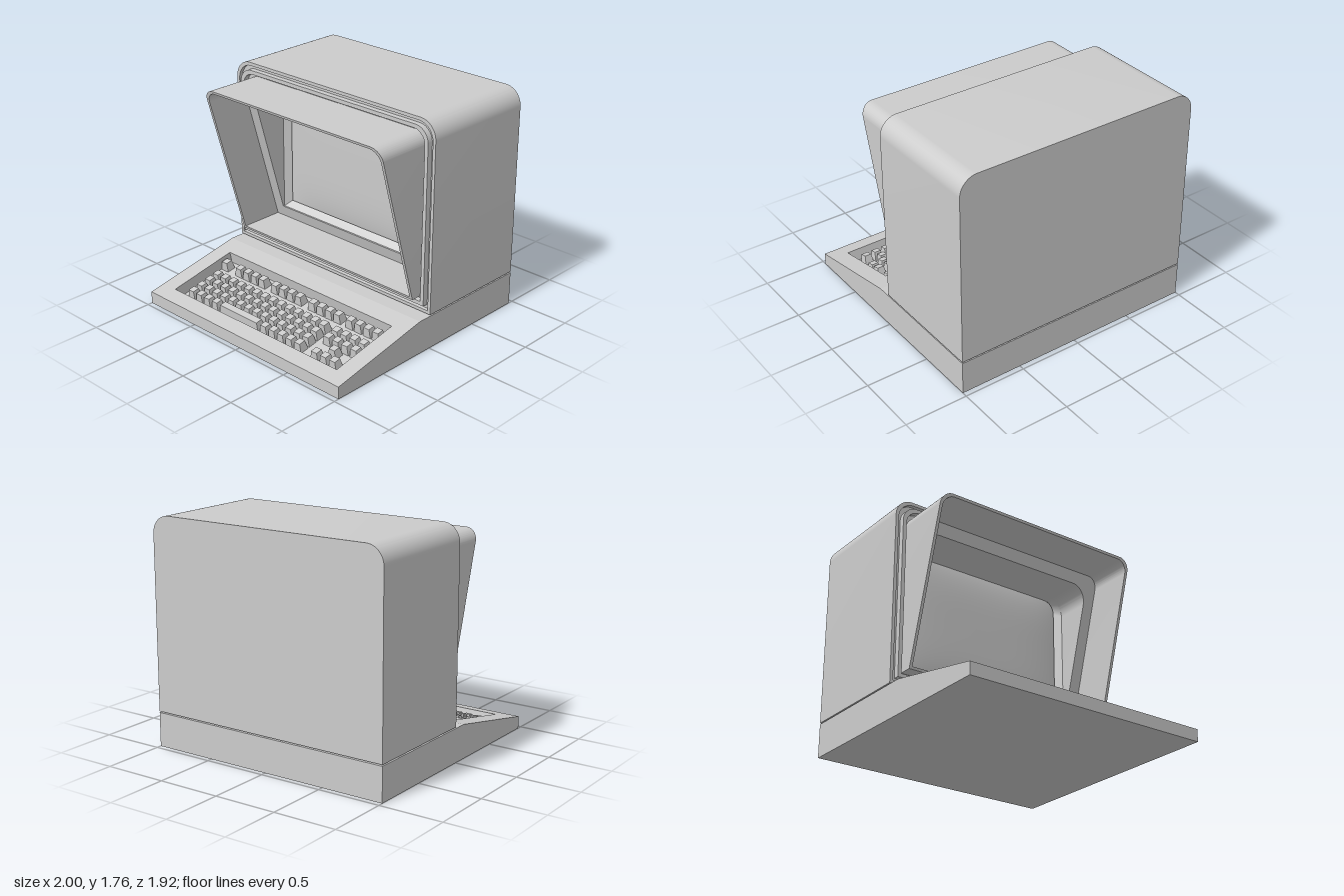
import * as THREE from 'three';
import { toCreasedNormals } from 'three/addons/utils/BufferGeometryUtils.js';

const grey = new THREE.MeshStandardMaterial({ color: 0xcccccc });
const greyDouble = new THREE.MeshStandardMaterial({ color: 0xcccccc, side: THREE.DoubleSide });

function add(parent, name, geometry, material = grey) {
  const mesh = new THREE.Mesh(geometry, material);
  mesh.name = name;
  parent.add(mesh);
  return mesh;
}

// Outline with square bottom corners and rounded top corners
function arch(hw, y0, y1, r) {
  const s = new THREE.Shape();
  s.moveTo(-hw, y0);
  s.lineTo(hw, y0);
  s.lineTo(hw, y1 - r);
  s.absarc(hw - r, y1 - r, r, 0, Math.PI / 2);
  s.lineTo(-hw + r, y1);
  s.absarc(-hw + r, y1 - r, r, Math.PI / 2, Math.PI);
  s.closePath();
  return s;
}

// Case outline moved inwards
const caseOutline = (i) => arch(1 - i, 0.275 + i, 1.765 - i, 0.14 - i * 0.4);

// Extrude an outline between two depths, each of which may depend on height
function slab(outline, hole, back, front) {
  const shape = outline.clone();
  if (hole) shape.holes.push(hole);
  const g = new THREE.ExtrudeGeometry(shape, { depth: 1, bevelEnabled: false, curveSegments: 12 });
  const p = g.attributes.position;
  for (let i = 0; i < p.count; i++) {
    p.setZ(i, p.getZ(i) < 0.5 ? back(p.getY(i)) : front(p.getY(i)));
  }
  return toCreasedNormals(g, 0.5);
}
const at = (z) => () => z;

// Sloped strip joining two outlines with equal point counts
function loft(a, za, b, zb) {
  const pa = a.getPoints(12), pb = b.getPoints(12), pos = [], idx = [];
  pa.forEach((p, i) => {
    pos.push(p.x, p.y, za, pb[i].x, pb[i].y, zb);
    const k = 2 * i, n = 2 * ((i + 1) % pa.length);
    idx.push(k, n, k + 1, n, n + 1, k + 1);
  });
  const g = new THREE.BufferGeometry();
  g.setAttribute('position', new THREE.Float32BufferAttribute(pos, 3));
  g.setIndex(idx);
  return toCreasedNormals(g, 0.5);
}

// Side profile of (z, y) points extruded across x
function acrossX(points, x0, x1) {
  const shape = new THREE.Shape(points.map(([z, y]) => new THREE.Vector2(z, y)));
  const g = new THREE.ExtrudeGeometry(shape, { depth: x1 - x0, bevelEnabled: false });
  return g.rotateY(-Math.PI / 2).translate(x1, 0, 0);
}

// Key with a smaller top
function keyGeometry(w) {
  const g = new THREE.BoxGeometry(w, 0.073, 0.074);
  const p = g.attributes.position;
  for (let i = 0; i < p.count; i++) {
    if (p.getY(i) > 0) {
      p.setX(i, p.getX(i) * (w - 0.02) / w);
      p.setZ(i, p.getZ(i) * 0.74);
    }
  }
  const flat = g.toNonIndexed();
  flat.computeVertexNormals();
  return flat.translate(0, -0.0585, 0);
}

function buildBase(root) {
  const base = new THREE.Group();
  base.name = 'base';
  root.add(base);
  const slope = 0.168 / 0.85, angle = Math.atan(slope), depth = 0.095;
  const surface = (z) => 0.265 - (z - 0.11) * slope;
  const dz = depth * Math.sin(angle), dy = depth * Math.cos(angle);
  const lower = [[-0.96, 0], [0.96, 0], [0.96, 0.097]];
  const upper = [[0.11, 0.265], [-0.96, 0.265]];
  const f = 0.833, b = 0.26, w = 0.862;
  const well = [[f, surface(f)], [f - dz, surface(f) - dy], [b - dz, surface(b) - dy], [b, surface(b)]];
  add(base, 'baseRight', acrossX([...lower, ...upper], -1, -w));
  add(base, 'baseLeft', acrossX([...lower, ...upper], w, 1));
  add(base, 'baseMiddleWithKeyWell', acrossX([...lower, ...well, ...upper], -w, w));

  // Keys laid out on the slope
  const keyboard = new THREE.Group();
  keyboard.name = 'keyboard';
  keyboard.position.set(0, 0.265, 0.11);
  keyboard.rotation.x = angle;
  base.add(keyboard);
  const small = keyGeometry(0.074);
  const key = (x, z, geometry = small, name = 'key') => {
    add(keyboard, name, geometry).position.set(x, 0, (z - 0.104) / Math.cos(angle));
  };
  // Rear row: a single key, then groups of four
  key(-0.82, 0.33);
  for (const start of [-0.66, -0.26, 0.145, 0.53]) {
    for (let i = 0; i < 4; i++) key(start + i * 0.087, 0.33);
  }
  // Main block, with the space bar in the last row
  for (let row = 0; row < 4; row++) {
    for (let i = 0; i < 14; i++) {
      if (row === 3 && i > 3 && i < 9) continue;
      key(-0.765 + i * 0.0892, 0.477 + row * 0.084);
    }
  }
  key(-0.23, 0.729, keyGeometry(0.42), 'spaceBar');
  // Side block and arrow keys
  for (let row = 0; row < 2; row++) {
    for (let i = 0; i < 4; i++) key(0.525 + i * 0.0885, 0.477 + row * 0.084);
  }
  key(0.66, 0.645);
  for (const x of [0.57, 0.66, 0.75]) key(x, 0.735);
}

function buildMonitor(root) {
  const monitor = new THREE.Group();
  monitor.name = 'monitor';
  root.add(monitor);

  // Foot hidden in the narrow gap above the base
  add(monitor, 'foot', new THREE.BoxGeometry(1.94, 0.02, 0.9).translate(0, 0.27, -0.48));

  // Case shell, then nested grooves and a raised ring
  const insets = [0, 0.025, 0.055, 0.085, 0.11];
  const fronts = [0, -0.03, 0.015, -0.03];
  const names = ['caseShell', 'outerGroove', 'raisedRing', 'innerGroove'];
  names.forEach((name, i) => {
    add(monitor, name, slab(caseOutline(insets[i]), caseOutline(insets[i + 1]), at(i ? -0.1 : -0.96), at(fronts[i])));
  });
  add(monitor, 'backPanel', slab(caseOutline(0.02), null, at(-0.96), at(-0.93)));

  // Hood with a slanted front, and the recessed panel parallel to it
  const lean = 0.37 / 1.275;
  const hoodFront = (y) => 0.07 + (y - 0.38) * lean;
  const panelFront = (y) => -0.285 + (y - 0.4) * lean;
  const inner = arch(0.867, 0.405, 1.635, 0.09);
  const opening = arch(0.775, 0.5, 1.54, 0.14);
  add(monitor, 'hood', slab(caseOutline(0.11), inner, at(-0.4), hoodFront));
  add(monitor, 'screenSurround', slab(inner, opening, at(-0.36), panelFront));

  // Bevelled bezel and gently bulging screen
  const glassEdge = arch(0.73, 0.545, 1.54, 0.11);
  add(monitor, 'bezel', loft(opening, -0.27, glassEdge, -0.32), greyDouble);
  const glass = new THREE.PlaneGeometry(1.5, 1.03, 32, 32);
  const p = glass.attributes.position;
  for (let i = 0; i < p.count; i++) {
    const u = p.getX(i) / 0.75, v = p.getY(i) / 0.515;
    p.setZ(i, 0.03 * (1 - u ** 4) * (1 - v ** 4));
  }
  glass.computeVertexNormals();
  add(monitor, 'screen', glass.translate(0, 1.035, -0.335));
}

export function createModel() {
  const root = new THREE.Group();
  root.name = 'computerTerminal';
  buildBase(root);
  buildMonitor(root);
  return root;
}
